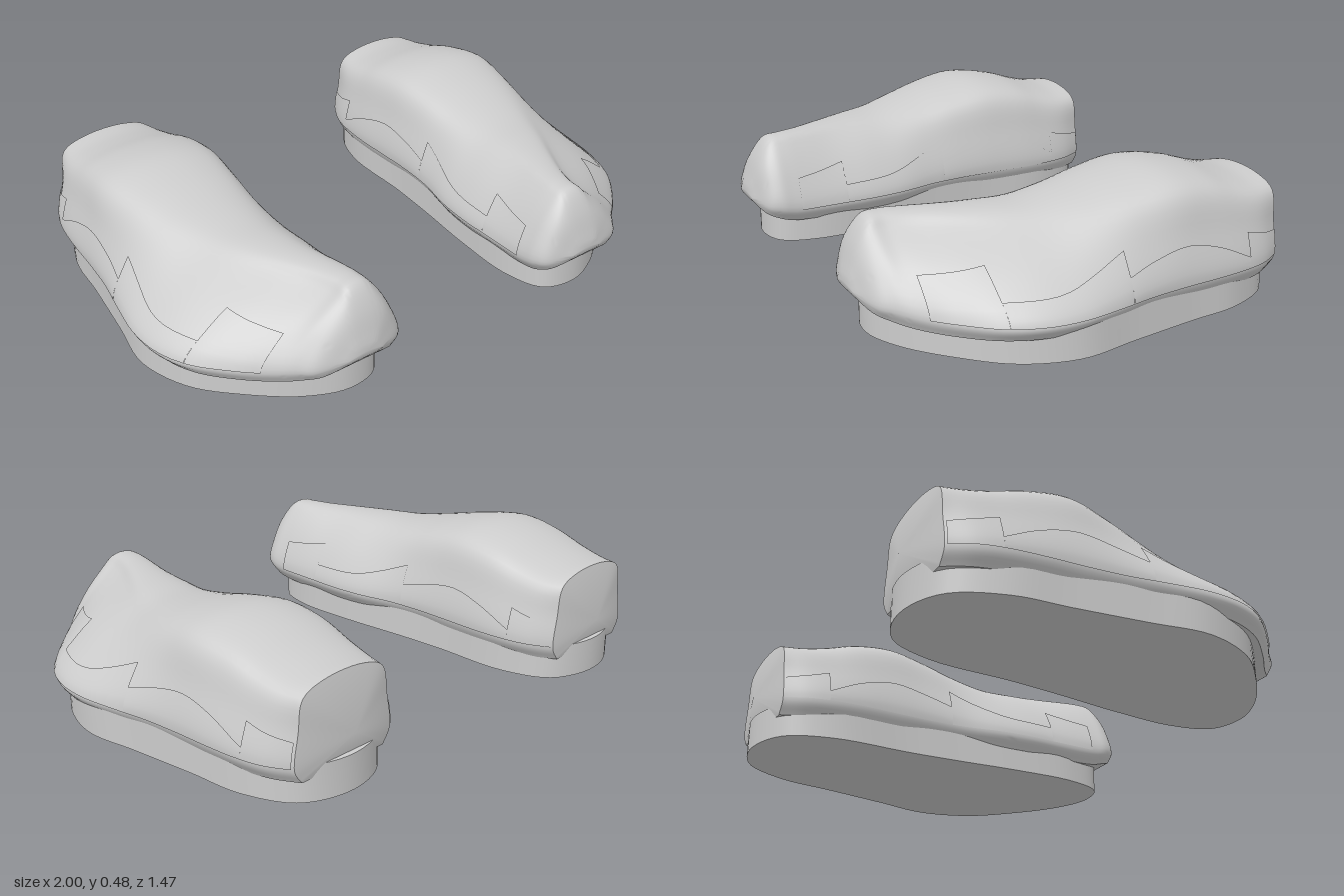
import * as THREE from 'three';
import { toCreasedNormals } from 'three/addons/utils/BufferGeometryUtils.js';

// Stations heel to toe: z, inner x, top inner x, top outer x, outer x, top y, bottom y
const STATIONS = [
  [-0.69, 0.43, 0.47, 0.80, 0.84, 0.39, 0.08],
  [-0.61, 0.39, 0.45, 0.82, 0.885, 0.394, 0.08],
  [-0.52, 0.368, 0.44, 0.83, 0.91, 0.415, 0.08],
  [-0.40, 0.357, 0.43, 0.84, 0.925, 0.452, 0.08],
  [-0.26, 0.357, 0.43, 0.85, 0.935, 0.47, 0.08],
  [-0.12, 0.356, 0.44, 0.83, 0.95, 0.45, 0.085],
  [0.02, 0.345, 0.45, 0.80, 0.975, 0.418, 0.085],
  [0.16, 0.315, 0.45, 0.75, 0.995, 0.393, 0.085],
  [0.29, 0.302, 0.44, 0.69, 0.985, 0.39, 0.085],
  [0.41, 0.302, 0.43, 0.62, 0.935, 0.39, 0.085],
  [0.52, 0.302, 0.41, 0.56, 0.84, 0.39, 0.085],
  [0.60, 0.302, 0.40, 0.53, 0.755, 0.39, 0.09],
  [0.655, 0.305, 0.40, 0.53, 0.70, 0.38, 0.105],
  [0.70, 0.335, 0.40, 0.54, 0.65, 0.31, 0.125],
  [0.732, 0.42, 0.45, 0.52, 0.55, 0.21, 0.16],
];

// Cross-section points from the inner bottom edge over the top to the outer bottom edge
function section([z, xi, ti, to, xo, h, yb]) {
  const d = h - yb, mix = THREE.MathUtils.lerp;
  return [
    [xi + 0.03, yb], [xi, yb + 0.16 * d], [mix(xi, ti, 0.35), yb + 0.55 * d],
    [ti - 0.005, h - 0.12 * d], [mix(ti, to, 0.25), h - 0.005 * d], [mix(ti, to, 0.75), h - 0.005 * d],
    [to + 0.005, h - 0.12 * d], [mix(xo, to, 0.4), yb + 0.55 * d], [xo, yb + 0.16 * d], [xo - 0.03, yb],
  ].map(([x, y]) => new THREE.Vector3(x, y, z));
}

const sections = STATIONS.map(section);
const rails = sections[0].map((_, j) =>
  new THREE.CatmullRomCurve3(sections.map((s) => s[j]), false, 'catmullrom', 0.5));
const sectionAt = (t) => new THREE.CatmullRomCurve3(rails.map((r) => r.getPoint(t)));

// Find where a monotonic function crosses zero
function bisect(lo, hi, positiveAt) {
  for (let i = 0; i < 24; i++) {
    const m = (lo + hi) / 2;
    if (positiveAt(m)) hi = m; else lo = m;
  }
  return (lo + hi) / 2;
}

function meshData(points, index) {
  const g = new THREE.BufferGeometry();
  g.setAttribute('position', new THREE.Float32BufferAttribute(points.flatMap((p) => [p.x, p.y, p.z]), 3));
  g.setIndex(index);
  return g;
}

// Closed loft with a pointed heel and a small blunt toe
function upperGeometry() {
  const nt = 70, nu = 48, points = [], index = [];
  for (let i = 0; i <= nt; i++) points.push(...sectionAt(i / nt).getPoints(nu));
  const w = nu + 1;
  const heel = points.push(new THREE.Vector3(0.63, 0.2, -0.737)) - 1;
  const toe = points.push(new THREE.Vector3(0.485, 0.185, 0.737)) - 1;
  for (let j = 0; j < w; j++) {
    const k = (j + 1) % w;
    for (let i = 0; i < nt; i++) {
      const a = i * w + j, b = i * w + k, c = a + w, d = b + w;
      index.push(a, c, b, b, c, d);
    }
    index.push(heel, j, k, toe, nt * w + k, nt * w + j);
  }
  return toCreasedNormals(meshData(points, index), 0.7);
}

// Flat-bottomed sole following the footprint
function soleGeometry() {
  const outline = [
    [0.50, 0.672], [0.64, 0.62], [0.80, 0.49], [0.92, 0.35], [0.98, 0.16], [0.95, -0.05], [0.915, -0.3],
    [0.89, -0.5], [0.80, -0.67], [0.63, -0.727], [0.46, -0.67], [0.385, -0.5], [0.375, -0.2],
    [0.36, 0.0], [0.335, 0.25], [0.33, 0.5], [0.38, 0.64],
  ].map(([x, z]) => new THREE.Vector3(x, -z, 0));
  const pts = new THREE.CatmullRomCurve3(outline, true).getPoints(90).slice(0, -1);
  const shape = new THREE.Shape(pts.map((p) => new THREE.Vector2(p.x, p.y)));
  const g = new THREE.ExtrudeGeometry(shape, { depth: 0.125, bevelEnabled: false });
  g.rotateX(-Math.PI / 2);
  return toCreasedNormals(g, 0.7);
}

// Thin side panel hugging the upper, below a sloping top line
function panelGeometry(line, outer) {
  const points = [], index = [], n = 14, m = 6, dir = outer ? 1 : -1;
  const curve = new THREE.CatmullRomCurve3(line.map(([z, y]) => new THREE.Vector3(0, y, z)));
  for (let i = 0; i <= n; i++) {
    const p = curve.getPoint(i / n);
    const cross = sectionAt(bisect(0, 1, (t) => rails[0].getPoint(t).z > p.z));
    for (let j = 0; j <= m; j++) {
      const y = THREE.MathUtils.lerp(0.135, p.y, j / m);
      const u = outer
        ? bisect(0.5, 1, (s) => cross.getPoint(s).y < y)
        : bisect(0, 0.5, (s) => cross.getPoint(s).y > y);
      const q = cross.getPoint(u);
      points.push(new THREE.Vector3(q.x + dir * 0.005, q.y + 0.002, q.z));
    }
  }
  for (let i = 0; i < n; i++) for (let j = 0; j < m; j++) {
    const a = i * (m + 1) + j, b = a + 1, c = a + m + 1, d = c + 1;
    if (outer) index.push(a, b, c, b, d, c); else index.push(a, c, b, b, c, d);
  }
  return toCreasedNormals(meshData(points, index), 0.7);
}

// Mirror across x and restore the corner order
function mirrored(geometry) {
  const g = geometry.clone().scale(-1, 1, 1);
  for (const name of ['position', 'normal']) {
    const a = g.attributes[name].array;
    for (let i = 0; i < a.length; i += 9) for (let k = 0; k < 3; k++) {
      [a[i + k], a[i + 6 + k]] = [a[i + 6 + k], a[i + k]];
    }
  }
  return g;
}

export function createModel() {
  const grey = new THREE.MeshStandardMaterial({ color: 0xcccccc });
  grey.name = 'light grey';
  grey.side = THREE.DoubleSide;

  const parts = [['upper', upperGeometry()], ['sole', soleGeometry()]];
  const lines = {
    heelPanel: [[-0.685, 0.22], [-0.6, 0.235], [-0.53, 0.255]],
    archPanel: [[-0.53, 0.175], [-0.4, 0.235], [-0.27, 0.265], [-0.14, 0.245], [-0.03, 0.215]],
    ballPanel: [[-0.03, 0.29], [0.08, 0.245], [0.2, 0.21], [0.395, 0.2]],
    toePanel: [[0.395, 0.28], [0.49, 0.262], [0.58, 0.25]],
  };
  for (const [name, line] of Object.entries(lines)) {
    parts.push([name + 'Outer', panelGeometry(line, true)], [name + 'Inner', panelGeometry(line, false)]);
  }

  const model = new THREE.Group();
  model.name = 'pairOfShoes';
  for (const side of ['left', 'right']) {
    const shoe = new THREE.Group();
    shoe.name = side + 'Shoe';
    for (const [name, geometry] of parts) {
      const mesh = new THREE.Mesh(side === 'left' ? geometry : mirrored(geometry), grey);
      mesh.name = name;
      shoe.add(mesh);
    }
    model.add(shoe);
  }
  return model;
}
